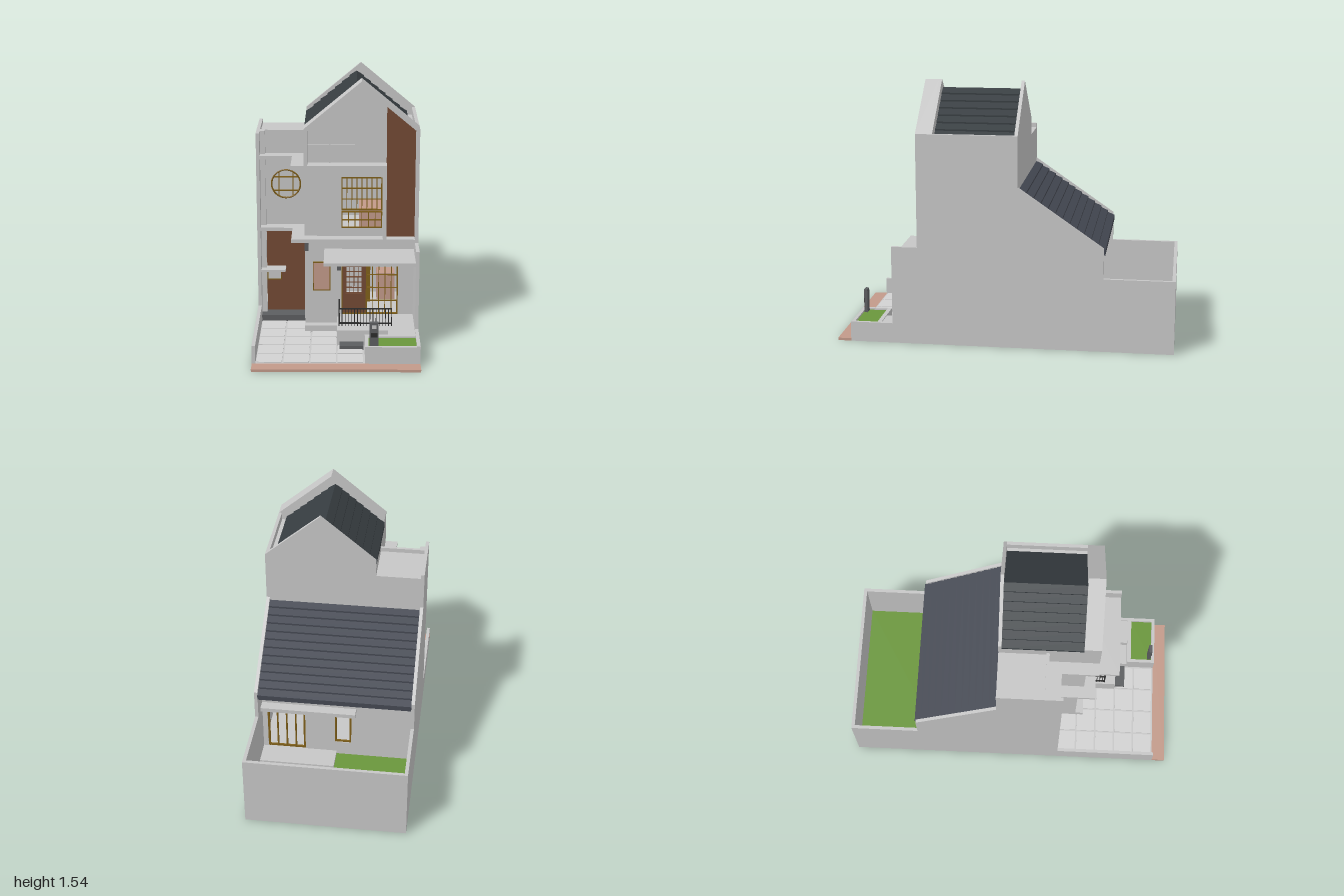
import * as THREE from 'three';

const mat = (name, color) => Object.assign(new THREE.MeshStandardMaterial({ color }), { name });

export function createModel() {
  const root = new THREE.Group();
  root.name = 'townhouse';
  const plaster = mat('plaster', 0xc6c6c6), tile = mat('paving', 0xd2d2d2), brown = mat('brownCladding', 0x734a34),
    gold = mat('goldFrame', 0x80601a), slate = mat('slate', 0x444852), charcoal = mat('charcoalRoof', 0x363c40),
    green = mat('lawn', 0x6a963c), clay = mat('clay', 0xc29a8a), black = mat('blackIron', 0x2b2b2b), grey = mat('darkGrey', 0x5c5e60);

  const add = (name, geo, m, x = 0, y = 0, z = 0) => {
    const mesh = new THREE.Mesh(geo, m);
    mesh.name = name;
    mesh.position.set(x, y, z);
    root.add(mesh);
    return mesh;
  };
  // Box given by its minimum and maximum on each axis
  const box = (name, m, x0, x1, y0, y1, z0, z1) =>
    add(name, new THREE.BoxGeometry(x1 - x0, y1 - y0, z1 - z0), m, (x0 + x1) / 2, (y0 + y1) / 2, (z0 + z1) / 2);
  const outline = pts => new THREE.Shape(pts.map(p => new THREE.Vector2(p[0], p[1])));
  const rect = (x0, x1, y0, y1) => [[x0, y0], [x1, y0], [x1, y1], [x0, y1]];
  // Wall facing z, drawn in x and y, with openings
  const wall = (name, m, pts, z0, z1, holes = []) => {
    const s = outline(pts);
    holes.forEach(h => s.holes.push(h));
    return add(name, new THREE.ExtrudeGeometry(s, { depth: z1 - z0, bevelEnabled: false, curveSegments: 20 }), m, 0, 0, z0);
  };
  // Prism drawn in z and y, running along x
  const sidePrism = (name, m, pts, x0, x1) => {
    const g = new THREE.ExtrudeGeometry(outline(pts), { depth: x1 - x0, bevelEnabled: false });
    g.rotateY(-Math.PI / 2);
    return add(name, g, m, x1);
  };
  const hole = (...r) => new THREE.Path(rect(...r).map(p => new THREE.Vector2(p[0], p[1])));
  // Window frame with evenly spaced bars
  const gridFrame = (name, m, x0, x1, y0, y1, z, cols, rows, t = 0.007) => {
    for (let i = 0; i <= cols; i++) {
      const w = i % cols ? t * 0.7 : t, x = x0 + w / 2 + (x1 - x0 - w) * i / cols;
      box(name + 'Upright', m, x - w / 2, x + w / 2, y0, y1, z, z + 0.012);
    }
    for (let j = 0; j <= rows; j++) {
      const w = j % rows ? t * 0.7 : t, y = y0 + w / 2 + (y1 - y0 - w) * j / rows;
      box(name + 'Rail', m, x0, x1, y - w / 2, y + w / 2, z + 0.001, z + 0.011);
    }
  };
  // Saw-tooth profile of overlapping roof courses, from eave to ridge
  const courses = (a, b, n, lip, thick) => {
    const pts = [[a[0], a[1] - thick]];
    for (let i = 0; i < n; i++) {
      const at = t => [a[0] + (b[0] - a[0]) * t, a[1] + (b[1] - a[1]) * t];
      const p = at(i / n), q = at((i + 1) / n);
      pts.push([p[0], p[1] + lip], q);
    }
    pts.push([b[0], b[1] - thick]);
    return pts;
  };

  // Ground, pavement and paving tiles
  box('groundSlab', plaster, -0.475, 0.47, 0, 0.015, -1, 0.92);
  box('pavement', clay, -0.475, 0.47, 0, 0.015, 0.92, 1);
  for (let i = 0; i < 4; i++) for (let j = 0; j < 5; j++) {
    const x = -0.45 + i * 0.152, z = 0.3 + j * 0.124;
    box('pavingTile', tile, x, x + 0.142, 0.015, 0.021, z, z + 0.114);
  }

  // Party walls
  const back = [[-0.085, 0.965], [-0.585, 0.62], [-0.585, 0.44], [-1, 0.44], [-1, 0]];
  sidePrism('leftPartyWall', plaster, [[0.92, 0], [0.92, 0.12], [0.665, 0.12], [0.665, 0.59], [0.51, 0.59],
    [0.51, 1.265], [-0.085, 1.265], ...back], 0.45, 0.47);
  sidePrism('rightPartyWall', plaster, [[0.92, 0], [0.92, 0.12], [0.3, 0.12], [0.3, 1.19], [-0.085, 1.19], ...back], -0.475, -0.455);

  // Back yard
  box('yardWall', plaster, -0.455, 0.45, 0.015, 0.44, -1, -0.98);
  box('yardLawn', green, -0.455, 0.45, 0.015, 0.1, -0.98, -0.45);
  box('yardStep', plaster, 0, 0.45, 0.1, 0.12, -0.605, -0.45);
  wall('rearWall', plaster, rect(-0.455, 0.45, 0.015, 0.66), -0.46, -0.44,
    [hole(0.19, 0.42, 0.12, 0.41), hole(-0.09, 0.01, 0.19, 0.39)]);
  gridFrame('gardenDoor', gold, 0.19, 0.42, 0.12, 0.41, -0.456, 4, 1, 0.012);
  gridFrame('rearWindow', gold, -0.09, 0.01, 0.19, 0.39, -0.456, 1, 1, 0.01);
  box('rearAwning', plaster, -0.12, 0.45, 0.43, 0.455, -0.52, -0.46);

  // Long rear roof
  sidePrism('rearRoof', slate, courses([-0.592, 0.595], [-0.085, 0.945], 12, 0.011, 0.02), -0.455, 0.45);

  // Interior floors and partitions
  box('groundFloor', plaster, -0.455, 0.45, 0.015, 0.11, -0.44, 0.2);
  box('frontRoomFloor', plaster, -0.19, 0.45, 0.015, 0.11, 0.2, 0.41);
  box('upperFloor', plaster, -0.455, 0.45, 0.59, 0.61, -0.44, 0.2);
  box('upperFrontFloor', plaster, -0.19, 0.45, 0.59, 0.61, 0.2, 0.44);
  box('partition', plaster, -0.455, 0.45, 0.11, 1.05, 0.02, 0.03);
  box('bedCover', clay, 0.13, 0.3, 0.61, 0.73, 0.1, 0.3);
  box('cabinet', clay, 0.24, 0.35, 0.11, 0.28, 0.06, 0.16);
  box('stairString', gold, 0.17, 0.2, 0.11, 0.43, 0.2, 0.21);

  // Gabled attic: end walls, deep front surround and roof
  const gable = y => [[-0.19, y], [0.47, y], [0.47, 1.265], [0.14, 1.54], [-0.19, 1.265]];
  wall('rearGable', plaster, gable(0.9), -0.085, -0.065);
  wall('frontGable', plaster, gable(1.04), 0.41, 0.43);
  wall('gableSurround', plaster, [[-0.19, 1.04], [-0.17, 1.04], [-0.17, 1.255], [0.14, 1.513], [0.45, 1.255],
    [0.45, 1.04], [0.47, 1.04], [0.47, 1.265], [0.14, 1.54], [-0.19, 1.265]], 0.43, 0.51);
  box('gableRail', plaster, -0.17, 0.29, 1.145, 1.155, 0.43, 0.438);
  box('gablePost', plaster, -0.045, -0.037, 1.05, 1.36, 0.43, 0.438);
  box('atticSideWall', plaster, -0.19, -0.17, 0.59, 1.23, -0.065, 0.44);
  wall('atticRoofRight', charcoal, courses([-0.19, 1.235], [0.115, 1.49], 7, 0.009, 0.02), -0.065, 0.41);
  wall('atticRoofLeft', charcoal, courses([0.42, 1.235], [0.115, 1.49], 7, 0.009, 0.02).reverse(), -0.065, 0.41);
  box('roofGutter', plaster, 0.41, 0.45, 1.19, 1.22, -0.065, 0.41);
  wall('brownPanel', brown, [[0.285, 0.61], [0.45, 0.61], [0.45, 1.255], [0.285, 1.392]], 0.43, 0.455);

  // Upper bay with gridded window
  wall('upperFrontWall', plaster, rect(-0.19, 0.45, 0.61, 1.04), 0.42, 0.44, [hole(0.025, 0.262, 0.66, 0.965)]);
  gridFrame('upperWindow', gold, 0.025, 0.262, 0.765, 0.965, 0.428, 8, 3);
  gridFrame('windowRailing', gold, 0.025, 0.262, 0.66, 0.76, 0.438, 6, 2, 0.006);
  box('bayPier', plaster, 0.265, 0.285, 0.61, 1.03, 0.44, 0.51);

  // Stepped floor bands across the front
  for (const [y, right] of [[1.03, 0.285], [0.59, 0.45]]) {
    box('bandWing', plaster, -0.455, -0.265, y, y + 0.02, 0.2, 0.29);
    box('bandBay', plaster, -0.265, -0.19, y, y + 0.02, 0.2, 0.51);
    box('bandFront', plaster, -0.19, right, y, y + 0.02, 0.41, 0.51);
  }

  // Right wing with flat roof, round window and brown entrance wall
  box('wingRoof', plaster, -0.455, -0.19, 1.14, 1.165, -0.085, 0.2);
  box('wingRearWall', plaster, -0.455, -0.19, 0.9, 1.14, -0.085, -0.065);
  const round = new THREE.Path().absarc(-0.305, 0.86, 0.088, 0, Math.PI * 2);
  wall('wingFrontWall', plaster, rect(-0.455, -0.19, 0.59, 1.19), 0.195, 0.213, [round]);
  add('roundWindowRing', new THREE.TorusGeometry(0.086, 0.005, 6, 40), gold, -0.305, 0.86, 0.212);
  for (const d of [-0.042, 0.042]) {
    box('roundWindowUpright', gold, -0.308 + d, -0.302 + d, 0.784, 0.936, 0.205, 0.212);
    box('roundWindowRail', gold, -0.381, -0.229, 0.857 + d, 0.863 + d, 0.206, 0.211);
  }
  box('wingPier', plaster, -0.455, -0.425, 0.015, 1.19, 0.213, 0.24);
  box('entranceWall', brown, -0.425, -0.19, 0.055, 0.59, 0.18, 0.2);
  box('entranceReturn', plaster, -0.19, -0.17, 0.015, 0.59, 0.18, 0.41);
  box('entrancePlatform', grey, -0.455, -0.19, 0.015, 0.055, 0.2, 0.29);
  box('entranceStep', plaster, -0.19, 0, 0.015, 0.055, 0.41, 0.46);
  box('entranceShelf', plaster, -0.455, -0.31, 0.328, 0.34, 0.2, 0.28);
  box('entranceHatch', plaster, -0.42, -0.342, 0.258, 0.308, 0.2, 0.206);
  gridFrame('hatchFrame', gold, -0.424, -0.338, 0.254, 0.312, 0.198, 1, 1, 0.005);

  // Ground floor front
  wall('groundFrontWall', plaster, rect(-0.19, 0.45, 0.015, 0.59), 0.39, 0.41,
    [hole(0.025, 0.36, 0.11, 0.44)]);
  box('clayBlind', clay, -0.14, -0.042, 0.265, 0.437, 0.41, 0.415);
  gridFrame('blindFrame', gold, -0.143, -0.039, 0.262, 0.44, 0.408, 1, 1, 0.005);
  box('slidingDoorPanel', brown, 0.03, 0.17, 0.11, 0.24, 0.395, 0.407);
  gridFrame('slidingDoor', brown, 0.03, 0.17, 0.11, 0.43, 0.396, 1, 1, 0.02);
  gridFrame('slidingDoorGrid', brown, 0.05, 0.15, 0.24, 0.41, 0.394, 4, 5, 0.005);
  gridFrame('shopWindow', gold, 0.025, 0.36, 0.11, 0.44, 0.4, 1, 1, 0.008);
  gridFrame('shopWindowGrid', gold, 0.17, 0.36, 0.11, 0.44, 0.395, 5, 4, 0.007);
  box('porchPier', plaster, 0, 0.02, 0.015, 0.5, 0.41, 0.45);
  box('porchCanopy', plaster, -0.075, 0.45, 0.5, 0.52, 0.41, 0.665);
  box('wallLampHigh', grey, -0.19, -0.168, 0.52, 0.575, 0.41, 0.45);
  box('wallLampLow', grey, 0, 0.022, 0.41, 0.47, 0.45, 0.48);

  // Porch platform and railing
  box('porchPlatform', plaster, 0, 0.45, 0.015, 0.11, 0.41, 0.665);
  box('porchStepHigh', plaster, 0.16, 0.295, 0.015, 0.07, 0.665, 0.74);
  box('porchStepSide', plaster, 0.295, 0.45, 0.015, 0.11, 0.665, 0.74);
  box('porchStepLow', grey, 0.015, 0.155, 0.015, 0.04, 0.665, 0.73);
  for (const y of [0.122, 0.212]) {
    box('railingRail', black, 0.01, 0.32, y, y + 0.008, 0.59, 0.598);
    box('railingReturn', black, 0.01, 0.018, y, y + 0.008, 0.45, 0.59);
  }
  for (let i = 0; i < 18; i++) {
    const x = 0.01 + i * 0.018;
    box('railingBar', black, x, x + 0.004, 0.11, 0.22, 0.592, 0.596);
    if (i < 8) box('returnBar', black, 0.012, 0.016, 0.11, 0.22, 0.45 + i * 0.018, 0.454 + i * 0.018);
  }

  // Front planter and letter post
  box('planterFront', plaster, 0.16, 0.45, 0.015, 0.115, 0.9, 0.92);
  box('planterSide', plaster, 0.16, 0.18, 0.015, 0.115, 0.74, 0.9);
  box('planterBack', plaster, 0.18, 0.45, 0.015, 0.115, 0.74, 0.765);
  box('planterLawn', green, 0.18, 0.45, 0.015, 0.105, 0.765, 0.9);
  box('letterPost', grey, 0.185, 0.235, 0.1, 0.25, 0.875, 0.895);
  box('letterPostPlate', plaster, 0.197, 0.223, 0.215, 0.235, 0.895, 0.899);
  box('letterPostSlot', black, 0.192, 0.228, 0.165, 0.19, 0.895, 0.899);

  return root;
}
